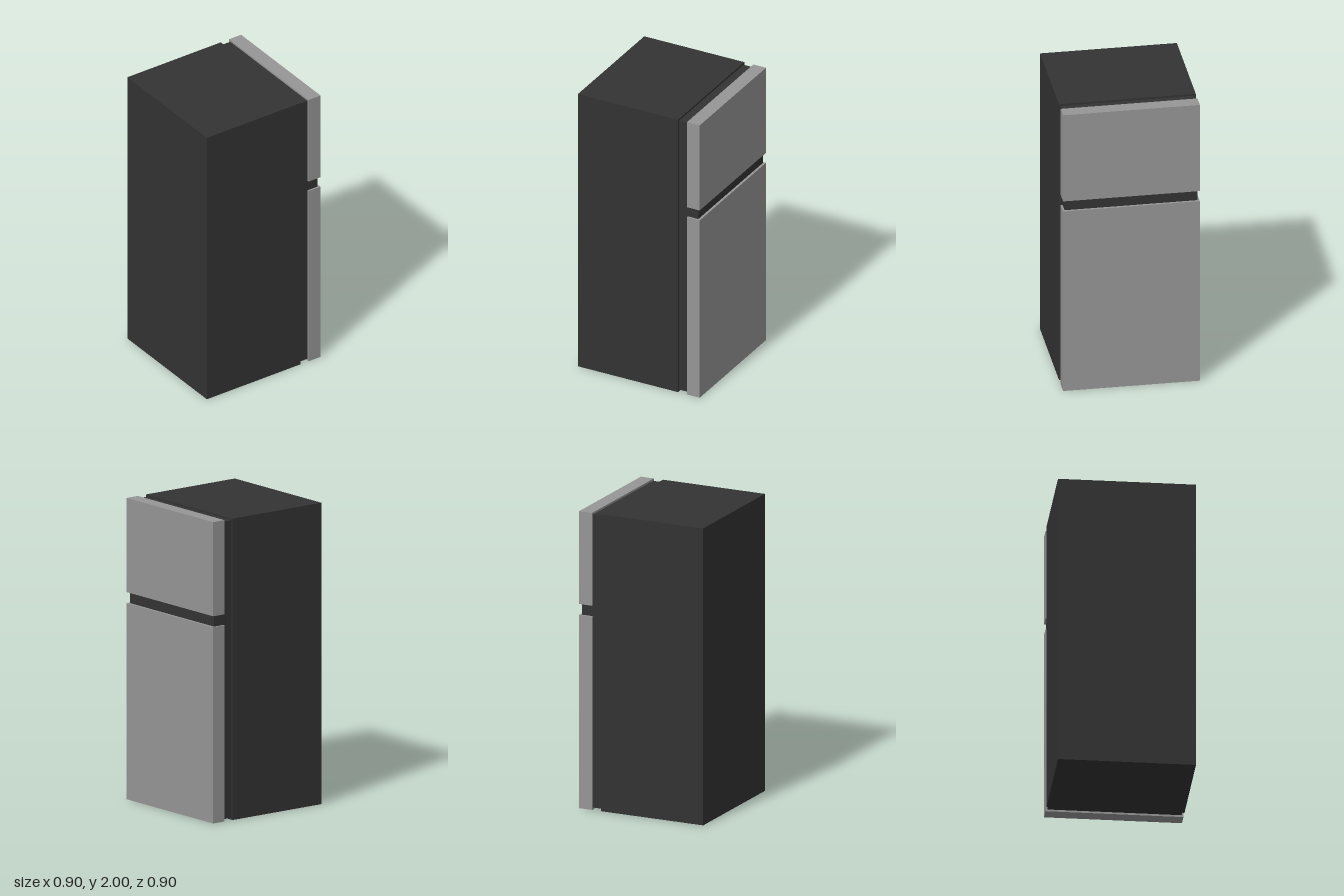
import * as THREE from 'three';

export function createModel() {
  const model = new THREE.Group();
  model.name = 'refrigerator';

  const charcoal = new THREE.MeshStandardMaterial({ color: 0x333333 });
  charcoal.name = 'charcoal';
  const steel = new THREE.MeshStandardMaterial({ color: 0x969696 });
  steel.name = 'steel grey';

  // Box given by its x and y limits and its depth, centred on z = 0
  function box(name, material, x0, x1, y0, y1, depth) {
    const mesh = new THREE.Mesh(new THREE.BoxGeometry(x1 - x0, y1 - y0, depth), material);
    mesh.name = name;
    mesh.position.set((x0 + x1) / 2, (y0 + y1) / 2, 0);
    model.add(mesh);
  }

  const depth = 0.897, innerDepth = 0.872;
  const bodyFace = 0.288, doorBack = 0.354, doorFace = 0.448;
  const gapLow = 1.302, gapHigh = 1.375;

  // Cabinet and the inset seal between it and the doors
  box('cabinet', charcoal, -0.449, bodyFace, 0, 2, depth);
  box('doorSeal', charcoal, bodyFace, doorBack, 0.013, 1.987, innerDepth);

  // Recessed bar between the two doors
  box('dividerBar', charcoal, doorBack, 0.431, gapLow, gapHigh, innerDepth);

  // Doors
  box('fridgeDoor', steel, doorBack, doorFace, 0, gapLow, depth);
  box('freezerDoor', steel, doorBack, doorFace, gapHigh, 2, depth);

  return model;
}
